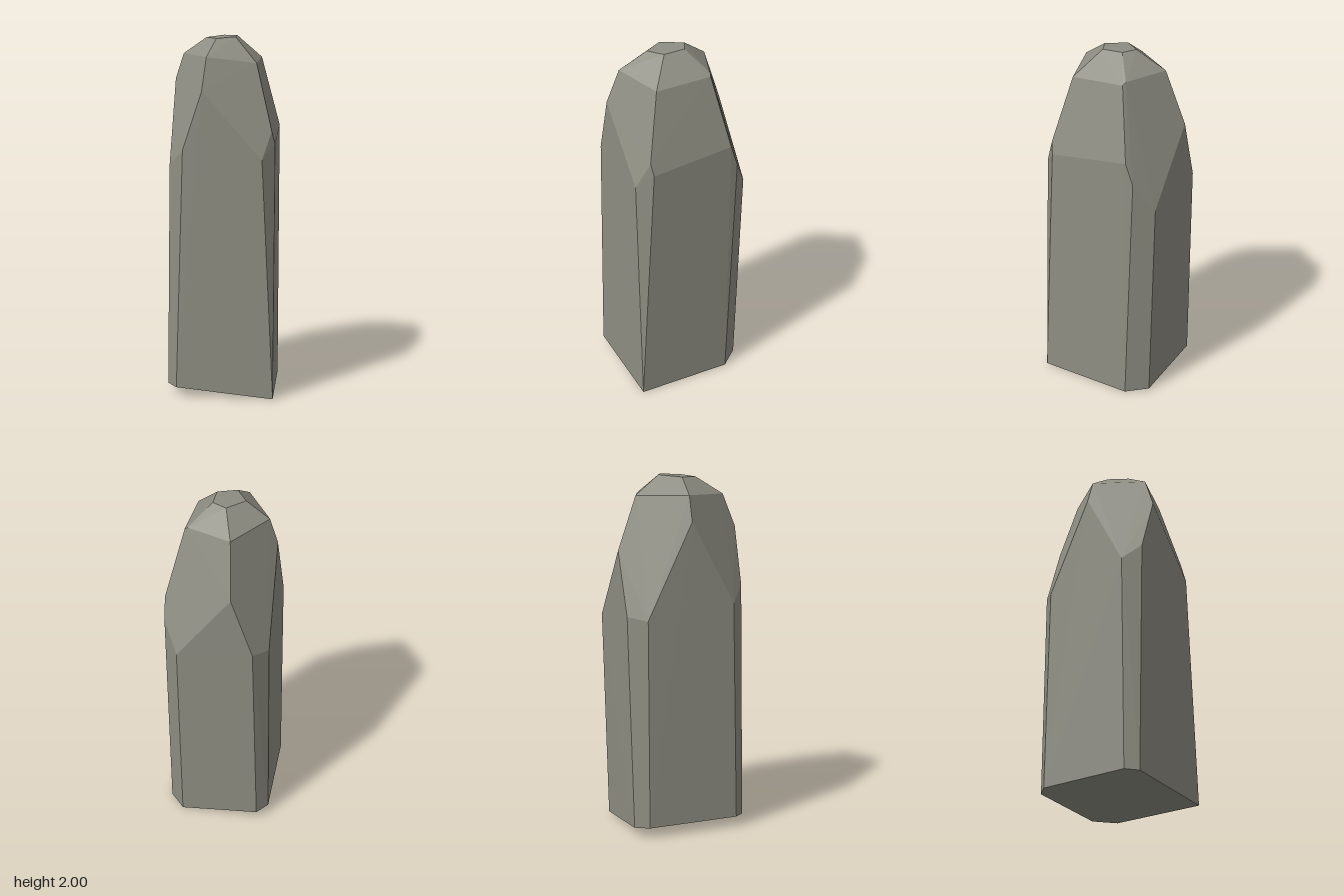
import * as THREE from 'three';
import { ConvexGeometry } from 'three/addons/geometries/ConvexGeometry.js';

// Faceted standing stone: the hull of a few rings of corners, [x, y, z]
const base = [
  [0.35, 0, 0.275], [-0.18, 0.054, 0.38], [-0.245, 0.06, 0.33],
  [-0.355, 0.06, -0.19], [-0.31, 0.054, -0.27], [0.13, 0.009, -0.355], [0.24, 0, -0.265],
];
const shoulder = [
  [0.32, 1.49, 0.21], [0.285, 1.34, 0.285], [0.335, 1.42, 0.195], // front, +x corner
  [-0.035, 1.71, 0.353], [-0.14, 1.39, 0.369], [-0.236, 1.3, 0.305], // front, -x corner
  [-0.28, 1.76, 0.06], [-0.336, 1.23, -0.193], [-0.28, 1.25, -0.3], // -x side
  [-0.165, 1.6, -0.33], [0.13, 1.2, -0.385], [0.23, 1.36, -0.31], [0.242, 1.48, -0.268], // back
];
const crown = [
  [0.215, 1.855, 0.145], [-0.03, 1.89, 0.283], [-0.235, 1.9, 0.052],
  [-0.12, 1.895, -0.225], [0.14, 1.89, -0.174], [0.16, 1.875, -0.17],
];
const tip = [
  [-0.04, 2, -0.085], [0.045, 2, -0.06], [0.07, 1.994, 0.06],
  [-0.02, 1.986, 0.13], [-0.105, 1.99, 0.037],
];

export function createModel() {
  const stone = new THREE.MeshStandardMaterial({ color: 0x8f8e83 });
  stone.name = 'grey stone';

  const corners = [...base, ...shoulder, ...crown, ...tip].map((p) => new THREE.Vector3(...p));
  const rock = new THREE.Mesh(new ConvexGeometry(corners), stone);
  rock.name = 'standingStone';

  const group = new THREE.Group();
  group.name = 'rock';
  group.add(rock);
  return group;
}
